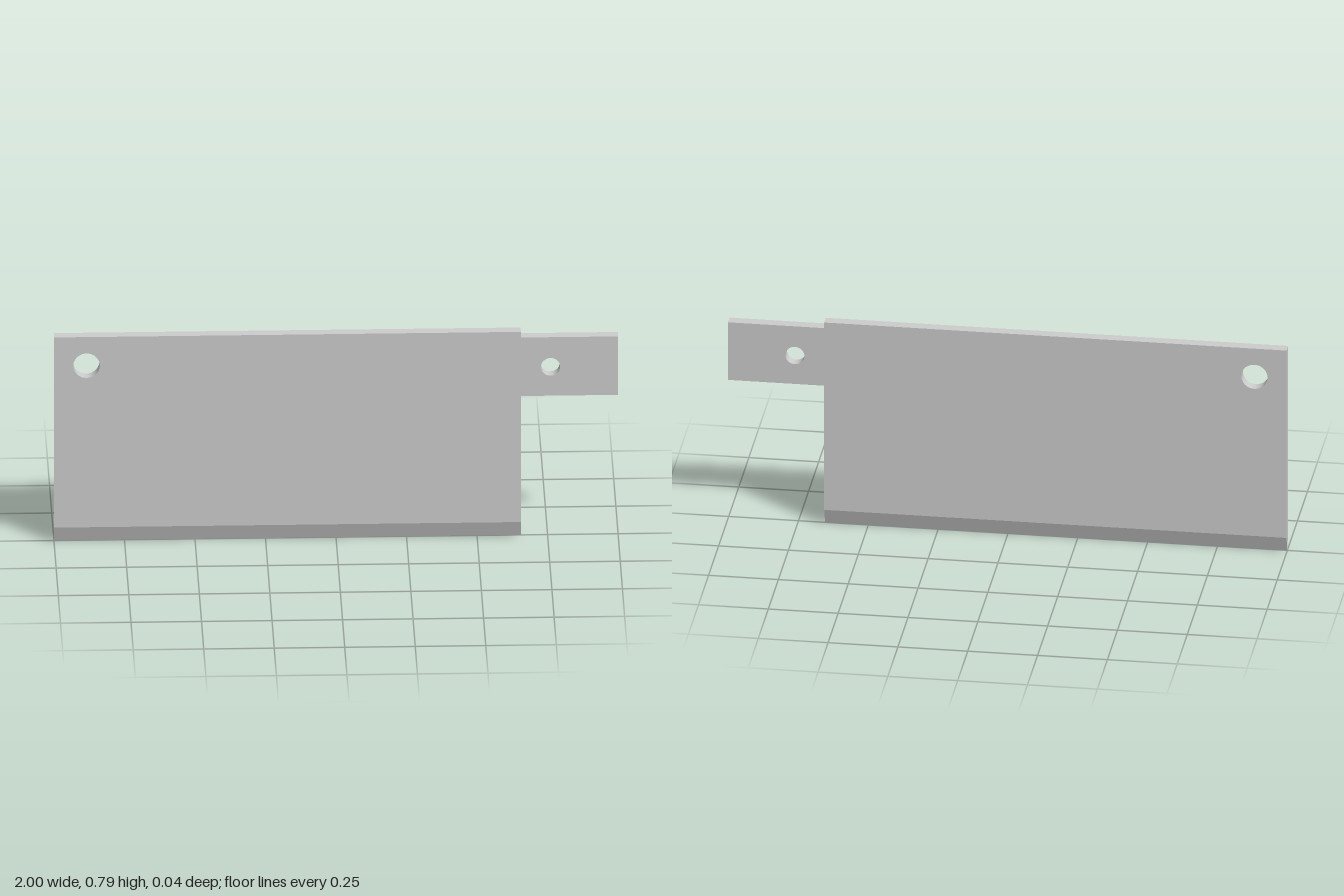
import * as THREE from 'three';

const THICK = 0.04;
const BEVEL_TOP = 0.058;
const LEFT = -1, SHOULDER = 0.655;

function polygon(points) {
  return new THREE.Shape(points.map(([x, y]) => new THREE.Vector2(x, y)));
}

function punch(shape, x, y, radius) {
  const hole = new THREE.Path();
  hole.absarc(x, y, radius, 0, Math.PI * 2, true);
  shape.holes.push(hole);
}

export function createModel() {
  const group = new THREE.Group();
  group.name = 'cleaverBlade';
  const material = new THREE.MeshStandardMaterial({ color: 0xcccccc });

  // Flat blade and its narrow tang in one plate, with two drilled holes
  const outline = polygon([
    [LEFT, BEVEL_TOP], [SHOULDER, BEVEL_TOP], [SHOULDER, 0.543], [1, 0.543],
    [1, 0.768], [SHOULDER, 0.768], [SHOULDER, 0.79], [LEFT, 0.79],
  ]);
  punch(outline, -0.885, 0.68, 0.047);
  punch(outline, 0.76, 0.654, 0.034);
  const plateGeometry = new THREE.ExtrudeGeometry(outline, {
    depth: THICK, bevelEnabled: false, curveSegments: 32,
  });
  plateGeometry.translate(0, 0, -THICK / 2);
  const plate = new THREE.Mesh(plateGeometry, material);
  plate.name = 'bladeAndTang';

  // Cutting edge: a V section swept along the blade
  const section = polygon([[0, 0], [THICK / 2, BEVEL_TOP], [-THICK / 2, BEVEL_TOP]]);
  const edgeGeometry = new THREE.ExtrudeGeometry(section, {
    depth: SHOULDER - LEFT, bevelEnabled: false,
  });
  edgeGeometry.rotateY(Math.PI / 2).translate(LEFT, 0, 0);
  const edge = new THREE.Mesh(edgeGeometry, material);
  edge.name = 'cuttingEdge';

  group.add(plate, edge);
  return group;
}
